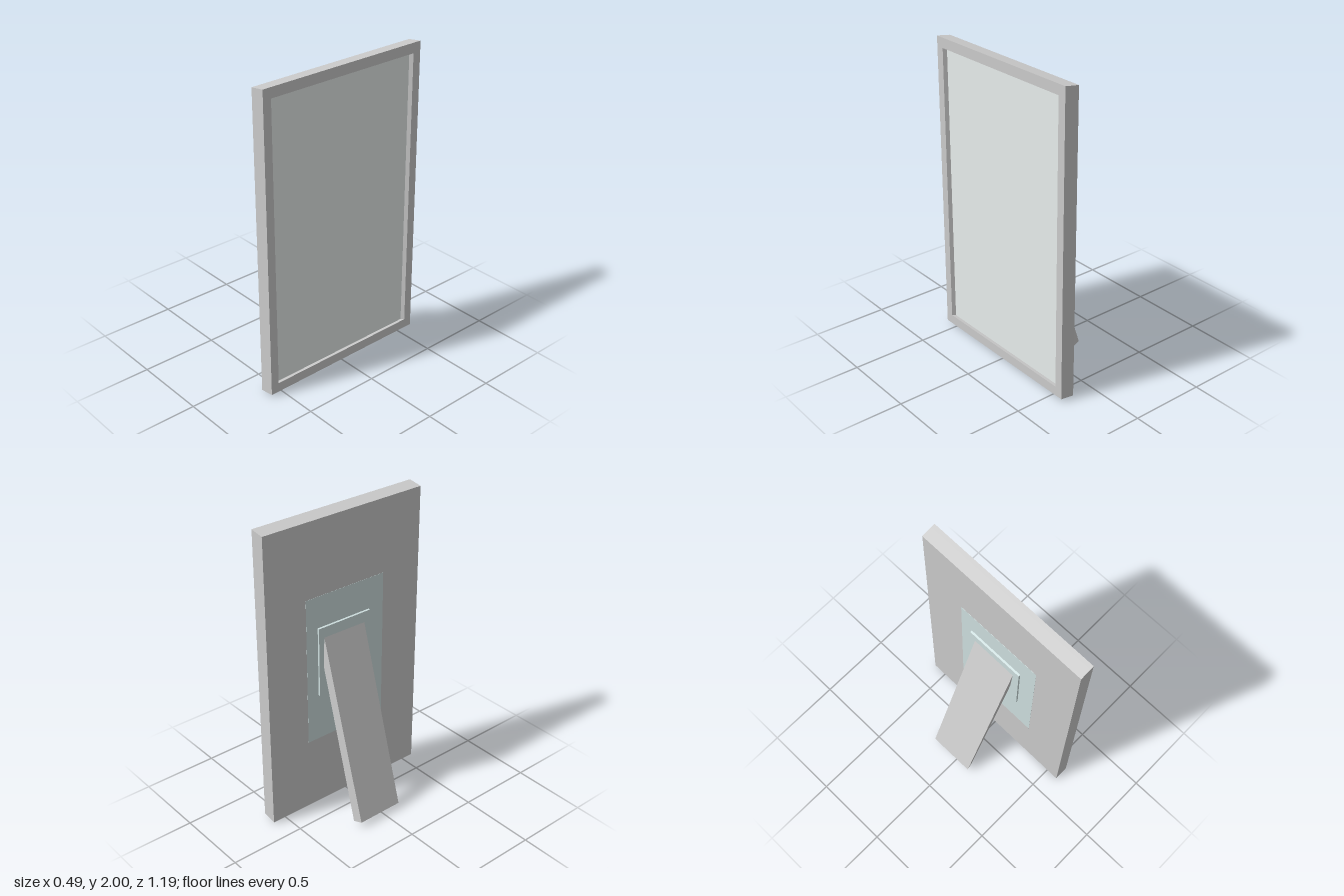
import * as THREE from 'three';
import { ConvexGeometry } from 'three/addons/geometries/ConvexGeometry.js';

const grey = new THREE.MeshStandardMaterial({ color: 0xcccccc, flatShading: true });
const pale = new THREE.MeshStandardMaterial({ color: 0xe8eeec, flatShading: true });
const tint = new THREE.MeshStandardMaterial({ color: 0xcfe0e0, flatShading: true });

// The frame is a slightly skewed slab, facing +x: lean it about its middle.
const MID = { x: 0.19, y: 1 };
function skew(geometry) {
  const p = geometry.attributes.position;
  for (let i = 0; i < p.count; i++) {
    const x = p.getX(i), y = p.getY(i), z = p.getZ(i);
    p.setXYZ(i,
      x - 0.003 * (y - MID.y) - 0.005 * z,
      y + 0.15 * (x - MID.x) - 0.006 * z,
      z + 0.005 * (y - MID.y));
  }
  geometry.computeVertexNormals();
  return geometry;
}

// Box given by its limits on each axis
function slab(x0, x1, y0, y1, z0, z1) {
  return new THREE.BoxGeometry(x1 - x0, y1 - y0, z1 - z0)
    .translate((x0 + x1) / 2, (y0 + y1) / 2, (z0 + z1) / 2);
}

function rectangle(path, w, y0, y1) {
  path.moveTo(-w, y0);
  path.lineTo(w, y0);
  path.lineTo(w, y1);
  path.lineTo(-w, y1);
  path.closePath();
  return path;
}

export function createModel() {
  const group = new THREE.Group();
  const add = (name, geometry, material) => {
    const mesh = new THREE.Mesh(geometry, material);
    mesh.name = name;
    group.add(mesh);
  };

  const back = 0.143, front = 0.238, rim = 0.025;
  const bottom = 0.011, top = 1.99, half = 0.59, opening = 0.535;

  // Solid body behind the picture
  add('frameBack', skew(slab(back, front - rim, bottom, top, -half, half)), grey);

  // Raised rim, its upright inner walls sloping in towards the picture
  const shape = rectangle(new THREE.Shape(), half, bottom, top);
  shape.holes.push(rectangle(new THREE.Path(), opening, 0.073, 1.925));
  const border = new THREE.ExtrudeGeometry(shape, { depth: rim, bevelEnabled: false });
  const p = border.attributes.position;
  for (let i = 0; i < p.count; i++) {
    const x = p.getX(i);
    if (p.getZ(i) < rim / 2 && Math.abs(x) < half - 0.01) p.setX(i, Math.sign(x) * 0.522);
  }
  border.rotateY(Math.PI / 2).translate(front - rim, 0, 0);
  add('frameRim', skew(border), grey);

  // Picture pane set into the rim
  add('picture', skew(slab(front - rim - 0.01, front - rim + 0.002, 0.073, 1.925, -0.524, 0.524)), pale);

  // Flush panel on the back, and the small hinge plate on it
  add('backPanel', skew(slab(back - 0.001, back + 0.01, 0.5, 1.5, -0.3, 0.3)), tint);
  add('hingePlate', skew(slab(0.129, back + 0.01, 0.82, 1.29, -0.215, 0.185)), tint);

  // Slightly twisted leg leaning into the hinge plate
  const corners = [
    [-0.245, 0.04, -0.2], [-0.245, 0.04, 0.115],
    [-0.19, 0.03, -0.215], [-0.19, 0.03, 0.1],
    [0.135, 1.23, -0.174], [0.135, 1.23, 0.141],
    [0.138, 1.03, -0.18], [0.138, 1.03, 0.127],
  ].map((c) => new THREE.Vector3(...c));
  add('standLeg', new ConvexGeometry(corners), grey);

  return group;
}
